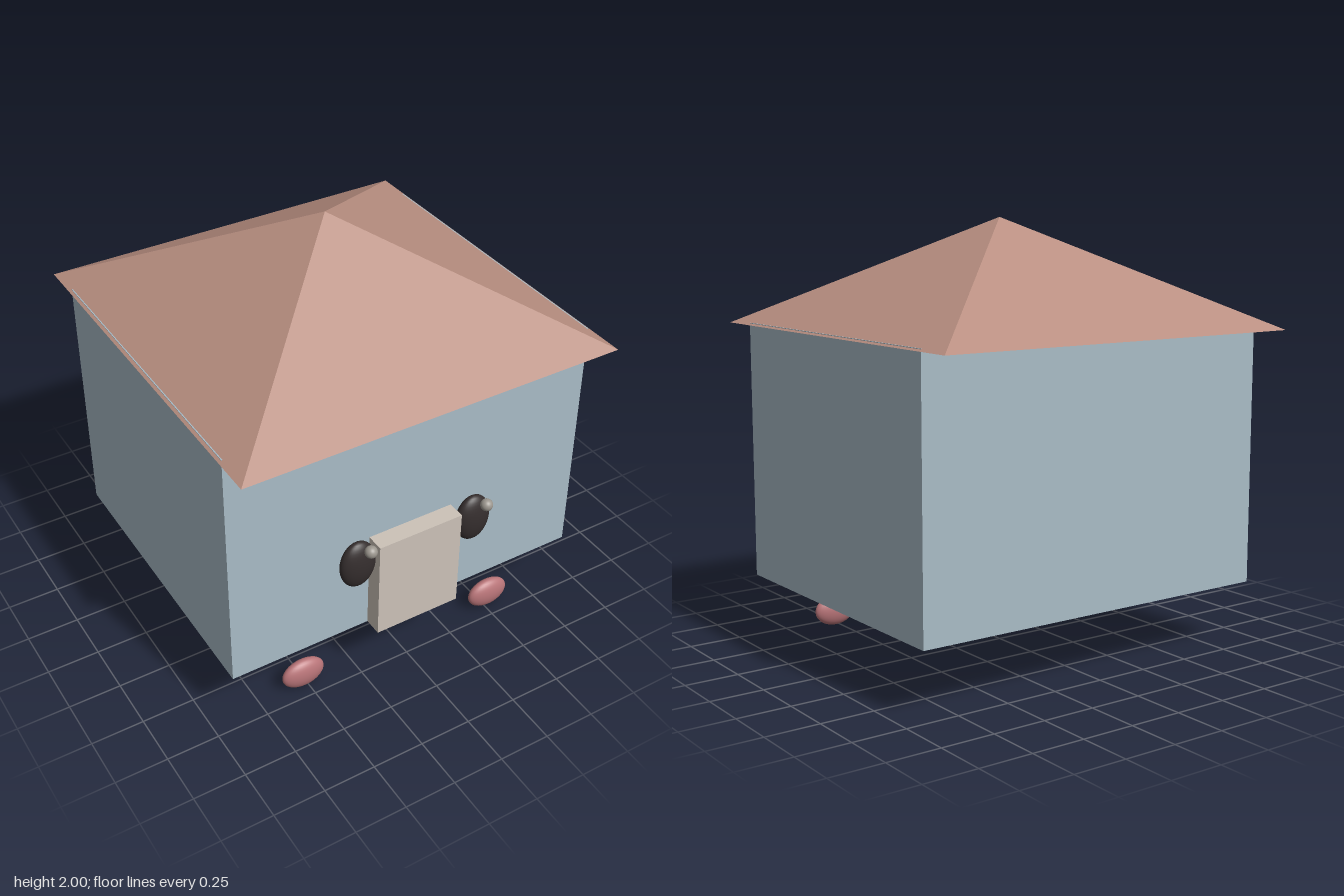
import * as THREE from 'three';

const paint = (color, flatShading = false) => new THREE.MeshStandardMaterial({ color, flatShading });

export function createModel() {
  const model = new THREE.Group();
  model.name = 'house';

  const wallPaint = paint(0xa9bcc6, true);
  const roofPaint = paint(0xb98f81, true);
  const doorPaint = paint(0xccc2b8, true);
  const eyePaint = paint(0x352e2e);
  const glintPaint = paint(0x9c978f);
  const footPaint = paint(0xb87478);

  const add = (name, geometry, material, x, y, z) => {
    const mesh = new THREE.Mesh(geometry, material);
    mesh.name = name;
    mesh.position.set(x, y, z);
    model.add(mesh);
    return mesh;
  };

  // Sphere scaled to the given radii
  const ellipsoid = (rx, ry, rz) => new THREE.SphereGeometry(1, 32, 20).scale(rx, ry, rz);

  // Walls, just breaking through the roof at the sides
  add('walls', new THREE.BoxGeometry(1.814, 1.21, 1.47), wallPaint, 0, 0.905, 0);

  // Pyramid roof with its sides squared to the walls
  const roof = new THREE.ConeGeometry(0.92 * Math.SQRT2, 0.5, 4).rotateY(Math.PI / 4);
  add('roof', roof, roofPaint, 0, 1.75, 0);

  // Door slab on the front wall
  add('door', new THREE.BoxGeometry(0.43, 0.505, 0.1), doorPaint, 0, 0.5525, 0.772);

  // Eyes, their highlights and the feet, one of each per side
  for (const [side, s] of [['left', 1], ['right', -1]]) {
    add(side + 'Eye', ellipsoid(0.088, 0.122, 0.046), eyePaint, s * 0.304, 0.729, 0.782);
    // Both highlights are shifted the same way
    add(side + 'EyeHighlight', ellipsoid(0.029, 0.029, 0.029), glintPaint, s * 0.304 + 0.03, 0.828, 0.841);
    add(side + 'Foot', ellipsoid(0.107, 0.076, 0.042), footPaint, s * 0.519, 0.077, 0.671);
  }

  return model;
}
